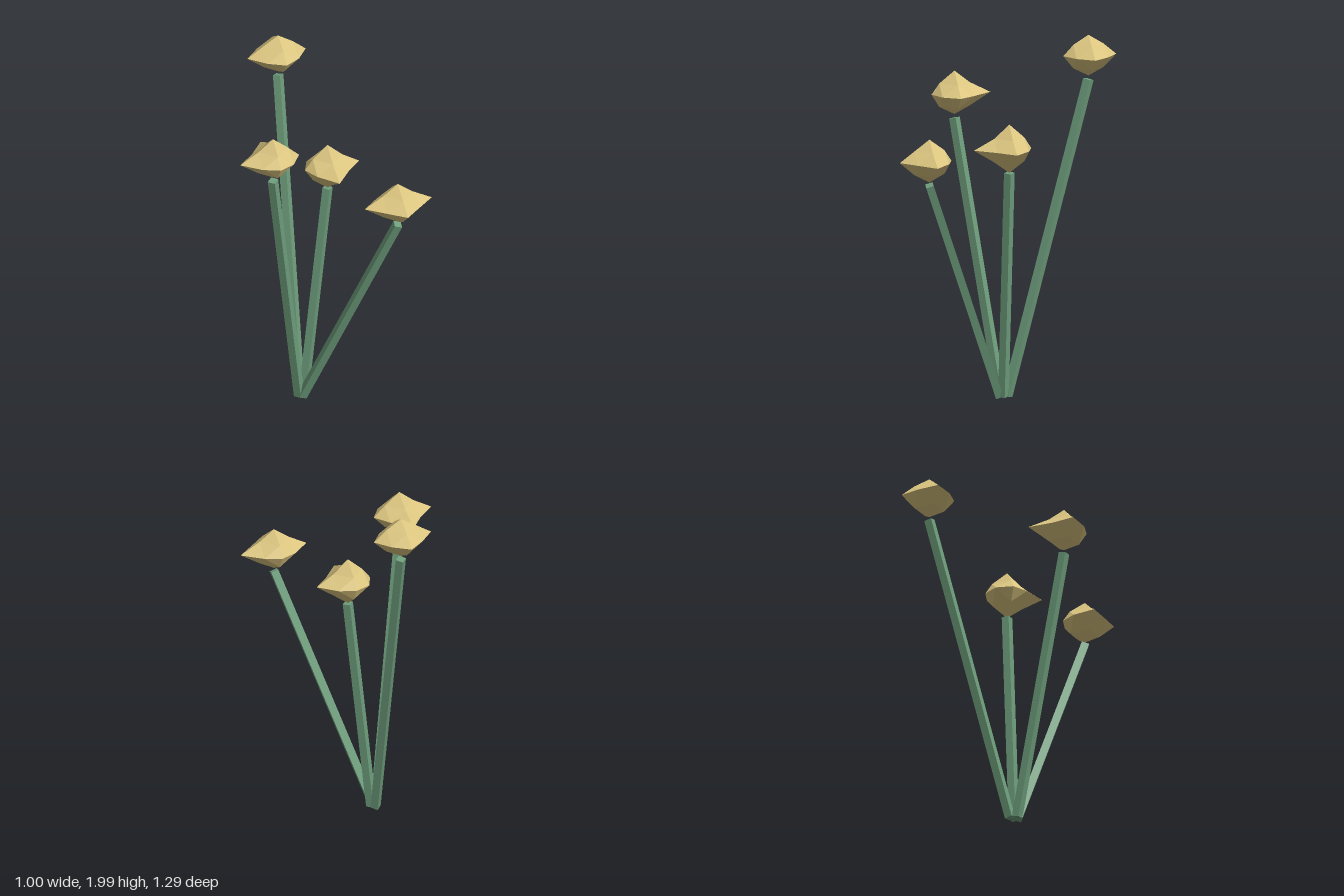
import * as THREE from 'three';

const green = new THREE.MeshStandardMaterial({ color: 0x6f9f7d, flatShading: true });
const yellow = new THREE.MeshStandardMaterial({ color: 0xdcc680, flatShading: true });

// base and tip: ends of the stem; spin: turn of its square section;
// y: height of the bloom centre; reach: bloom points at -x, +x, -z, +z, -y, +y
const flowers = [
  { base: [-0.075, 0.02, -0.045], tip: [-0.04, 1.755, -0.488], spin: 0, y: 1.888,
    reach: [0.177, 0.158, 0.155, 0.14, 0.113, 0.112] },
  { base: [-0.09, 0.02, -0.01], tip: [-0.312, 1.52, 0.192], spin: 0, y: 1.653,
    reach: [0.188, 0.15, 0.2, 0.128, 0.113, 0.127] },
  { base: [-0.06, 0.02, -0.02], tip: [0.077, 1.283, -0.02], spin: 0, y: 1.415,
    reach: [0.13, 0.182, 0.122, 0.197, 0.132, 0.135] },
  { base: [-0.075, 0.02, 0], tip: [0.303, 1.285, 0.479], spin: -0.9, y: 1.415,
    reach: [0.19, 0.195, 0.123, 0.165, 0.115, 0.122] },
];

// Square stem between two points
function makeStem({ base, tip, spin }) {
  const a = new THREE.Vector3(...base), b = new THREE.Vector3(...tip);
  const geo = new THREE.CylinderGeometry(0.03, 0.03, a.distanceTo(b), 4);
  geo.rotateY(spin);
  const stem = new THREE.Mesh(geo, green);
  stem.name = 'stem';
  stem.position.copy(a).add(b).multiplyScalar(0.5);
  stem.quaternion.setFromUnitVectors(new THREE.Vector3(0, 1, 0), b.sub(a).normalize());
  return stem;
}

// Faceted bloom: uneven points on the axes, even vertices between them
function makeBloom({ tip, y, reach }) {
  const geo = new THREE.OctahedronGeometry(1, 1);
  const pos = geo.attributes.position;
  for (let i = 0; i < pos.count; i++) {
    const s = [pos.getX(i), pos.getY(i), pos.getZ(i)].map((v) => (Math.abs(v) < 0.1 ? 0 : Math.sign(v)));
    const onAxis = s.filter((v) => v !== 0).length === 1;
    if (onAxis) {
      const [l, r, b, f, d, u] = reach;
      pos.setXYZ(i, s[0] * (s[0] < 0 ? l : r), s[1] * (s[1] < 0 ? d : u), s[2] * (s[2] < 0 ? b : f));
    } else if (s[1] === 0) {
      pos.setXYZ(i, s[0] * 0.09, 0, s[2] * 0.088);
    } else {
      pos.setXYZ(i, s[0] * 0.084, s[1] < 0 ? -0.07 : 0.06, s[2] * 0.084);
    }
  }
  geo.computeVertexNormals();
  const bloom = new THREE.Mesh(geo, yellow);
  bloom.name = 'bloom';
  bloom.position.set(tip[0], y, tip[2]);
  return bloom;
}

export function createModel() {
  const model = new THREE.Group();
  model.name = 'flowerBunch';
  for (const spec of flowers) {
    const flower = new THREE.Group();
    flower.name = 'flower';
    flower.add(makeStem(spec), makeBloom(spec));
    model.add(flower);
  }
  return model;
}
